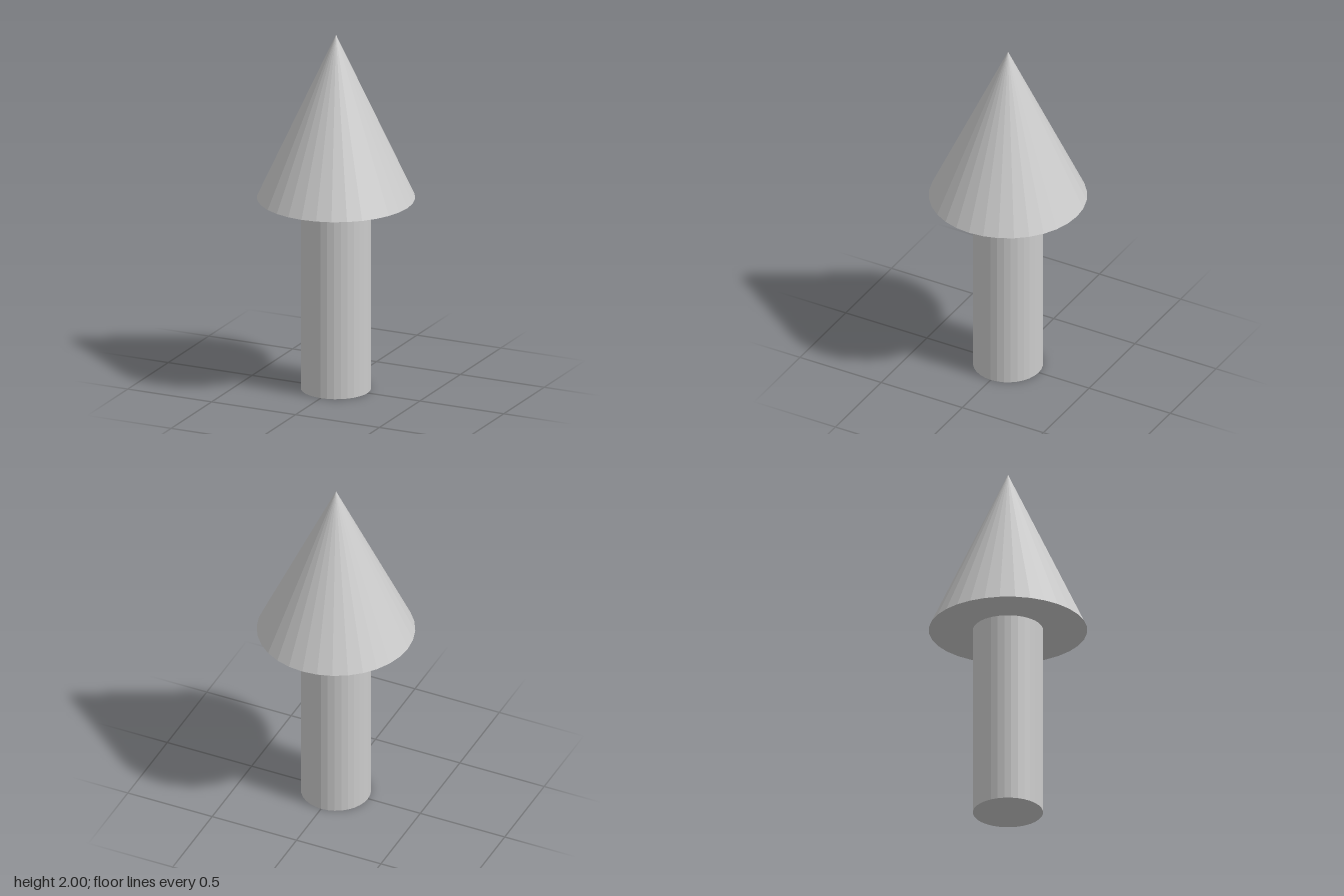
import * as THREE from 'three';

const SIDES = 32;
const HEIGHT = 2;
const SHAFT_HEIGHT = 1.08;

export function createModel() {
  const group = new THREE.Group();
  group.name = 'arrow';
  const material = new THREE.MeshStandardMaterial({ color: 0xcccccc, flatShading: true });

  const add = (name, geometry, bottom, height) => {
    const mesh = new THREE.Mesh(geometry, material);
    mesh.name = name;
    mesh.position.y = bottom + height / 2;
    group.add(mesh);
  };

  // Round shaft standing on the ground
  add('shaft', new THREE.CylinderGeometry(0.189, 0.189, SHAFT_HEIGHT, SIDES), 0, SHAFT_HEIGHT);

  // Pointed head with a flat underside
  const headHeight = HEIGHT - SHAFT_HEIGHT;
  add('head', new THREE.ConeGeometry(0.426, headHeight, SIDES), SHAFT_HEIGHT, headHeight);

  return group;
}
